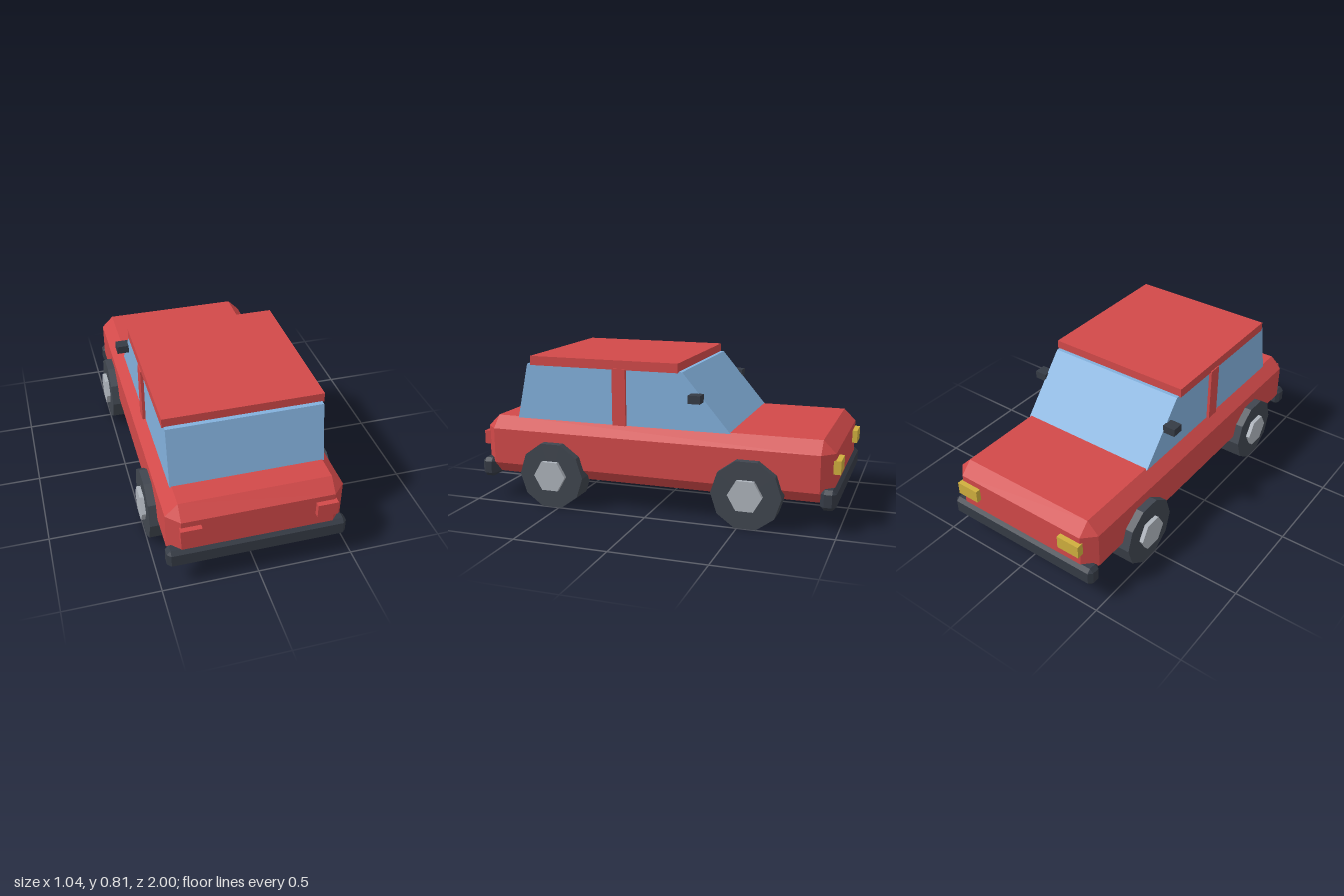
import * as THREE from 'three';
import { ConvexGeometry } from 'three/addons/geometries/ConvexGeometry.js';

function material(name, color) {
  const m = new THREE.MeshStandardMaterial({ color });
  m.name = name;
  return m;
}

// Box with every edge cut by the same chamfer, centred on the origin
function chamferedBox(width, height, depth, c) {
  const w = width / 2, h = height / 2, d = depth / 2, points = [];
  for (const x of [-1, 1]) for (const y of [-1, 1]) for (const z of [-1, 1]) {
    points.push(
      new THREE.Vector3(x * w, y * (h - c), z * (d - c)),
      new THREE.Vector3(x * (w - c), y * h, z * (d - c)),
      new THREE.Vector3(x * (w - c), y * (h - c), z * d));
  }
  return new ConvexGeometry(points);
}

export function createModel() {
  const car = new THREE.Group();
  car.name = 'car';

  const paint = material('red paint', 0xd14949);
  const glass = material('blue glass', 0x82b0dc);
  const rubber = material('tyre grey', 0x40464f);
  const trim = material('dark trim', 0x353b45);
  const metal = material('hub grey', 0xadb3bb);
  const lamp = material('yellow lamp', 0xcfae3e);

  function add(name, geometry, mat, x, y, z) {
    const mesh = new THREE.Mesh(geometry, mat);
    mesh.name = name;
    mesh.position.set(x, y, z);
    car.add(mesh);
    return mesh;
  }
  const box = (w, h, d) => new THREE.BoxGeometry(w, h, d);

  // Lower body
  add('body', chamferedBox(0.91, 0.325, 1.945, 0.065), paint, 0, 0.3075, 0);

  // Glasshouse: side profile extruded across the car
  const profile = new THREE.Shape([
    [-0.78, 0.465], [0.435, 0.465], [0.175, 0.77], [-0.715, 0.77],
  ].map(([x, y]) => new THREE.Vector2(x, y)));
  const cabin = new THREE.ExtrudeGeometry(profile, { depth: 0.8, bevelEnabled: false });
  cabin.translate(0, 0, -0.4).rotateY(Math.PI / 2);
  add('cabinGlass', cabin, glass, 0, 0, 0);

  // Roof slab
  add('roof', box(0.82, 0.05, 0.845), paint, 0, 0.79, 0.268);

  // Bumpers at both ends
  for (const end of [-1, 1]) {
    add(end < 0 ? 'noseBumper' : 'tailBumper',
      chamferedBox(0.93, 0.106, 0.08, 0.02), trim, 0, 0.179, end * 0.95);
  }

  // Wheel geometries, turned so the axle lies along x and a flat side is on top
  const tyreGeometry = new THREE.CylinderGeometry(0.185, 0.185, 0.127, 10).toNonIndexed();
  const hubGeometry = new THREE.CylinderGeometry(0.091, 0.091, 0.06, 6).toNonIndexed();
  for (const g of [tyreGeometry, hubGeometry]) {
    g.rotateZ(Math.PI / 2);
    g.computeVertexNormals();
  }

  for (const side of [-1, 1]) {
    const s = side < 0 ? 'right' : 'left';
    for (const z of [-0.5425, 0.5425]) {
      const w = s + (z < 0 ? 'Nose' : 'Tail');
      add(w + 'Tyre', tyreGeometry, rubber, side * 0.4335, 0.176, z);
      add(w + 'Hub', hubGeometry, metal, side * 0.489, 0.178, z);
    }
    // Door pillar, mirror and lamps
    add(s + 'Pillar', box(0.03, 0.305, 0.075), paint, side * 0.401, 0.6185, 0.173);
    add(s + 'Mirror', box(0.07, 0.043, 0.065), trim, side * 0.43, 0.6425, -0.258);
    add(s + 'Headlight', box(0.13, 0.07, 0.04), lamp, side * 0.335, 0.336, -0.98);
    add(s + 'TailLight', box(0.107, 0.075, 0.04), paint, side * 0.346, 0.336, 0.98);
  }
  return car;
}
